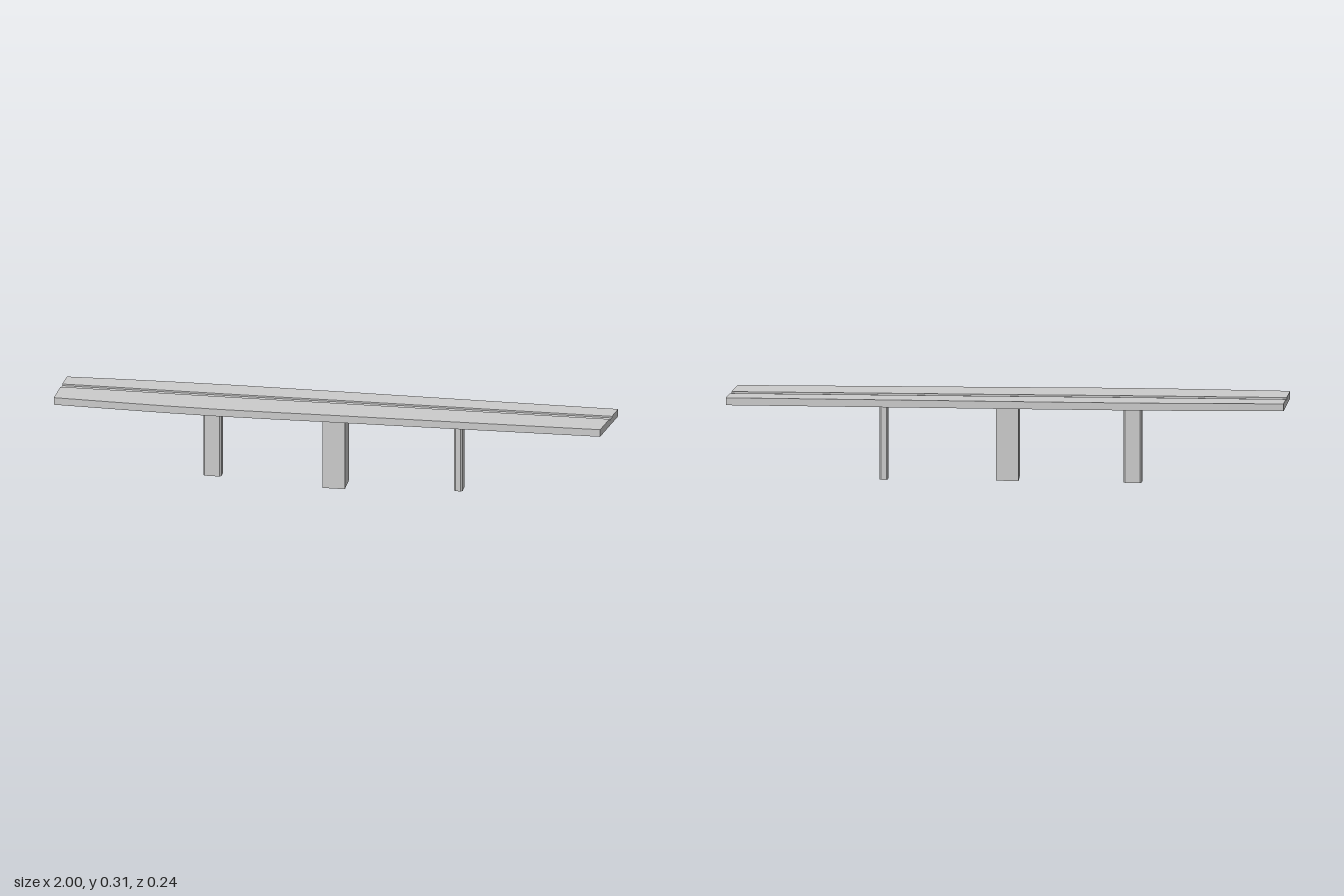
import * as THREE from 'three';

const DECK_BOTTOM = 0.28, GROOVE_FLOOR = 0.301, DECK_TOP = 0.307;

// Plan of the deck: [front x, front z, back x, back z] at each station
const STATIONS = [
  [-1, 0.107, -0.988, -0.103],
  [-0.8, 0.114, -0.79, -0.112],
  [-0.6, 0.12, -0.59, -0.118],
  [-0.4, 0.122, -0.39, -0.122],
  [-0.2, 0.118, -0.19, -0.122],
  [0, 0.112, 0.01, -0.122],
  [0.4, 0.104, 0.41, -0.12],
  [0.97, 0.091, 1, -0.118],
];

// Cross-section of the deck, with a shallow channel behind the centreline
function deckSection([fx, fz, bx, bz]) {
  const mid = (fz + bz) / 2;
  const at = (z, y) => {
    const t = (fz - z) / (fz - bz);
    return [fx + (bx - fx) * t, y, z];
  };
  const a = mid - 0.003, b = mid - 0.031;
  return [
    at(fz, DECK_BOTTOM), at(fz, DECK_TOP), at(a, DECK_TOP), at(a, GROOVE_FLOOR),
    at(b, GROOVE_FLOOR), at(b, DECK_TOP), at(bz, DECK_TOP), at(bz, DECK_BOTTOM),
  ];
}

function deckGeometry() {
  const rings = STATIONS.map(deckSection);
  const n = rings[0].length, pos = [];
  const tri = (...corners) => corners.forEach((p) => pos.push(...p));
  for (let i = 0; i < rings.length - 1; i++) {
    for (let j = 0; j < n; j++) {
      const k = (j + 1) % n;
      const a = rings[i][j], b = rings[i + 1][j], c = rings[i + 1][k], d = rings[i][k];
      tri(a, b, c);
      tri(a, c, d);
    }
  }
  // End caps
  const caps = [[0, 1, 2], [0, 2, 3], [0, 3, 4], [0, 4, 7], [4, 5, 6], [4, 6, 7]];
  const first = rings[0], last = rings[rings.length - 1];
  for (const [a, b, c] of caps) {
    tri(first[a], first[b], first[c]);
    tri(last[a], last[c], last[b]);
  }
  const g = new THREE.BufferGeometry();
  g.setAttribute('position', new THREE.Float32BufferAttribute(pos, 3));
  g.computeVertexNormals();
  return g;
}

// Column with its four corners cut off by cx and cz
function chamferedColumn(w, d, cx, cz) {
  const x = w / 2, z = d / 2;
  const shape = new THREE.Shape([
    [x, -z + cz], [x, z - cz], [x - cx, z], [-x + cx, z],
    [-x, z - cz], [-x, -z + cz], [-x + cx, -z], [x - cx, -z],
  ].map(([u, v]) => new THREE.Vector2(u, v)));
  const g = new THREE.ExtrudeGeometry(shape, { depth: DECK_BOTTOM, bevelEnabled: false });
  return g.rotateX(-Math.PI / 2);
}

export function createModel() {
  const group = new THREE.Group();
  const material = new THREE.MeshStandardMaterial({ color: 0xcccccc, flatShading: true });
  const add = (name, geometry, x = 0, y = 0, z = 0) => {
    const mesh = new THREE.Mesh(geometry, material);
    mesh.name = name;
    mesh.position.set(x, y, z);
    group.add(mesh);
  };

  add('deck', deckGeometry());
  add('middlePier', new THREE.BoxGeometry(0.08, DECK_BOTTOM, 0.086), 0, DECK_BOTTOM / 2, 0);
  add('rightPier', chamferedColumn(0.066, 0.047, 0.006, 0.007), -0.447, 0, -0.028);
  add('leftPier', chamferedColumn(0.031, 0.047, 0.006, 0.007), 0.441, 0, -0.028);
  return group;
}
